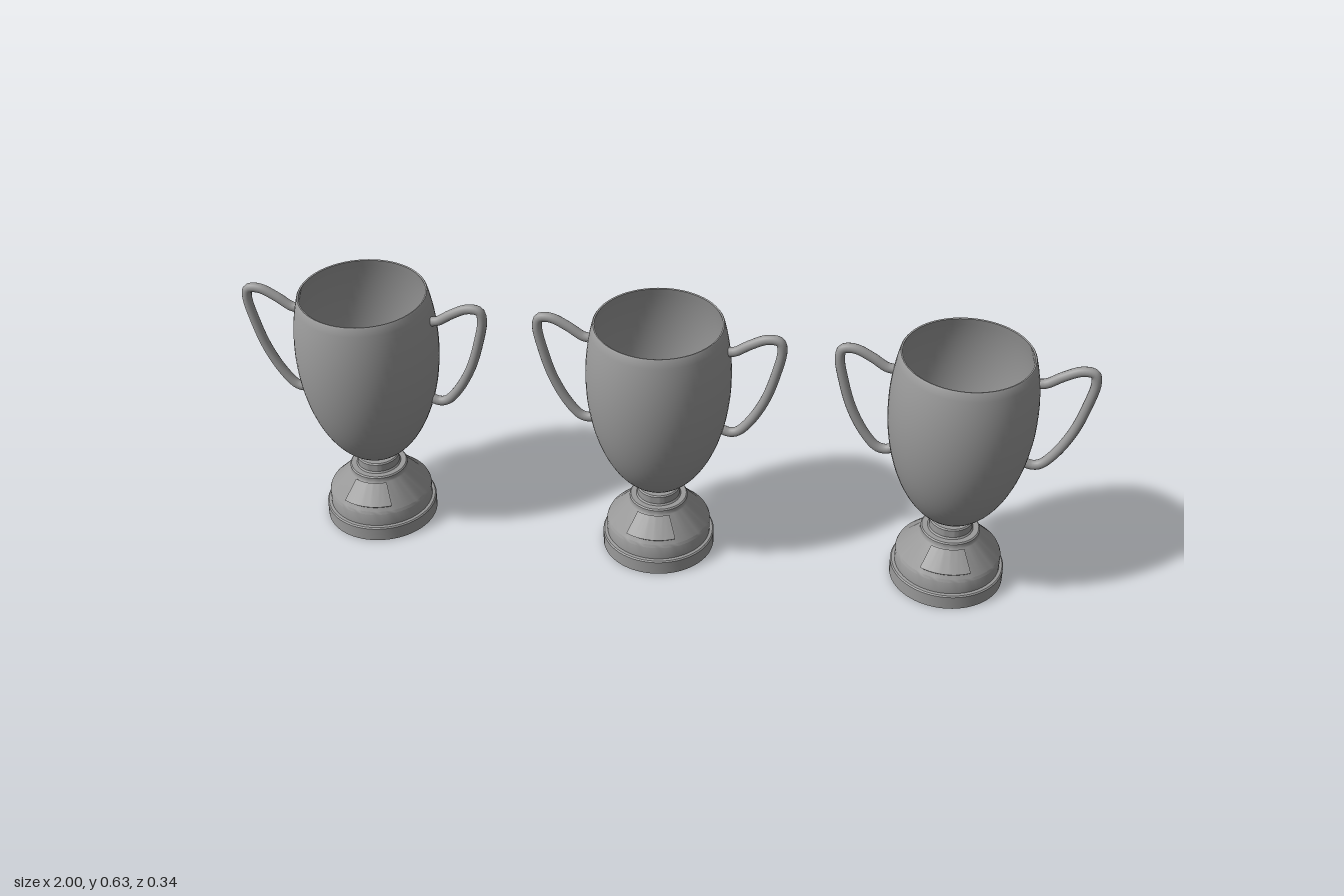
import * as THREE from 'three';
import { toCreasedNormals } from 'three/addons/utils/BufferGeometryUtils.js';

const material = new THREE.MeshStandardMaterial({ color: 0x9b9b9b });

function addMesh(parent, geometry, name) {
  const mesh = new THREE.Mesh(geometry, material);
  mesh.name = name;
  parent.add(mesh);
}

// Revolved profile with sharp edges kept sharp
function turned(points) {
  const profile = points.map(([r, y]) => new THREE.Vector2(r, y));
  return toCreasedNormals(new THREE.LatheGeometry(profile, 64), 0.45);
}

// Bowl wall: part of an ellipse, cut off at the rim
function ellipseArc(a, b, yMid, yRim, steps) {
  const start = -Math.PI / 2;
  const end = Math.asin((yRim - yMid) / b);
  return Array.from({ length: steps + 1 }, (_, i) => {
    const t = start + ((end - start) * i) / steps;
    return [Math.max(0, a * Math.cos(t)), yMid + b * Math.sin(t)];
  });
}

// Thin plate wrapped around the cone of the foot; x is the angle, y runs up the slope
function conePlate(angle, thickness) {
  const plate = new THREE.BoxGeometry(angle, 1, thickness, 16, 1, 1);
  const pos = plate.attributes.position;
  for (let i = 0; i < pos.count; i++) {
    const phi = pos.getX(i);
    const up = pos.getY(i) + 0.5;
    const lift = pos.getZ(i) * Math.SQRT1_2;
    const r = 0.116 - 0.042 * up + lift;
    pos.setXYZ(i, r * Math.sin(phi), 0.0865 + 0.042 * up + lift, r * Math.cos(phi));
  }
  return toCreasedNormals(plate, 0.45);
}

function createTrophy() {
  const trophy = new THREE.Group();

  // Stepped foot with a conical shoulder and a short neck
  addMesh(trophy, turned([
    [0, 0], [0.135, 0], [0.135, 0.034], [0.132, 0.037], [0.125, 0.038],
    [0.125, 0.071], [0.122, 0.078], [0.072, 0.129], [0.07, 0.134], [0.07, 0.141],
    [0.067, 0.144], [0.054, 0.144], [0.051, 0.148], [0.051, 0.167], [0.048, 0.17], [0, 0.17],
  ]), 'base');

  // Hollow bowl: outer wall up, slightly rounded thin rim, inner wall down
  const outer = ellipseArc(0.17, 0.32, 0.488, 0.629, 32);
  const inner = ellipseArc(0.165, 0.314, 0.488, 0.631, 32).reverse();
  addMesh(trophy, turned([...outer, [0.1505, 0.632], ...inner]), 'bowl');

  // Ear-shaped handles on both sides, ending within the bowl wall
  for (const side of [1, -1]) {
    const path = new THREE.CatmullRomCurve3([
      [0.161, 0.572], [0.178, 0.575], [0.212, 0.597], [0.252, 0.616], [0.28, 0.613],
      [0.286, 0.59], [0.274, 0.525], [0.251, 0.45], [0.217, 0.385],
      [0.188, 0.352], [0.168, 0.347], [0.15, 0.353],
    ].map(([x, y]) => new THREE.Vector3(side * x, y, 0)), false, 'centripetal');
    addMesh(trophy, new THREE.TubeGeometry(path, 64, 0.0115, 14), side > 0 ? 'leftHandle' : 'rightHandle');
  }

  // Curved plaque hugging the slope of the foot
  addMesh(trophy, conePlate(Math.PI / 3, 0.009), 'plaque');

  return trophy;
}

export function createModel() {
  const model = new THREE.Group();
  model.name = 'trophies';
  ['rightTrophy', 'middleTrophy', 'leftTrophy'].forEach((name, i) => {
    const trophy = createTrophy();
    trophy.name = name;
    trophy.position.x = (i - 1) * 0.703;
    model.add(trophy);
  });
  return model;
}
